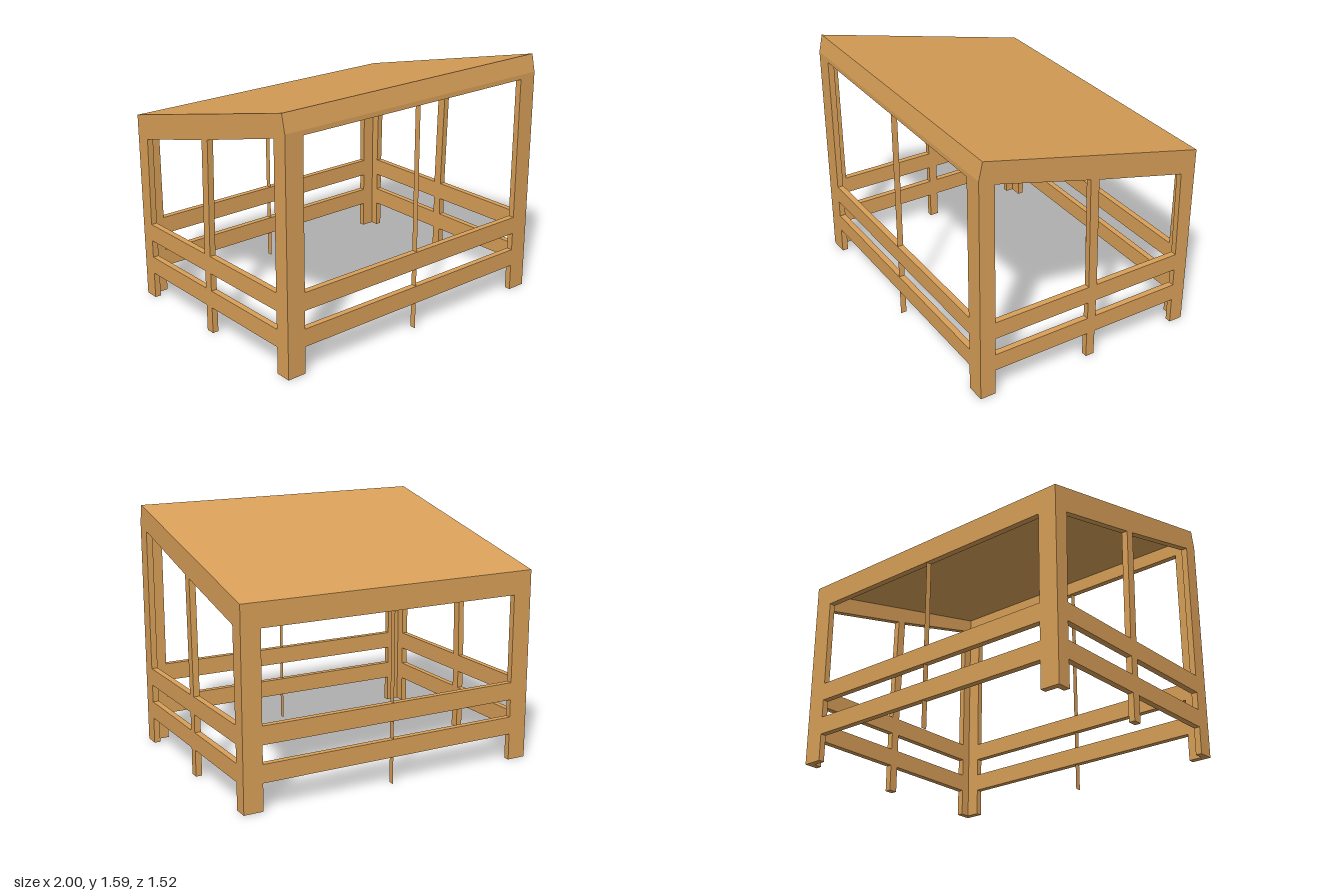
import * as THREE from 'three';

const T = 0.04;                 // panel thickness
const F = 0.76, B = -0.757;     // front and back planes
const RAIL = [0.173, 0.287, 0.403, 0.517]; // lower rail bottom/top, upper rail bottom/top

const path = (pts) => pts.map(([a, b]) => new THREE.Vector2(a, b));

function panel(outline, holes, depth) {
  const shape = new THREE.Shape(path(outline));
  for (const h of holes) shape.holes.push(new THREE.Path(path(h)));
  return new THREE.ExtrudeGeometry(shape, { depth, bevelEnabled: false }).translate(0, 0, -depth / 2);
}

const rect = (a0, a1, b0, b1) => [[a0, b0], [a1, b0], [a1, b1], [a0, b1]];

export function createModel() {
  const model = new THREE.Group();
  model.name = 'slopedFrame';
  const wood = new THREE.MeshStandardMaterial({ color: 0xd9a058, side: THREE.DoubleSide });
  wood.name = 'lightWood';

  const add = (name, geometry, x = 0, y = 0, z = 0) => {
    const mesh = new THREE.Mesh(geometry, wood);
    mesh.name = name;
    mesh.position.set(x, y, z);
    model.add(mesh);
  };

  // Sloping roof slab with a leaning front edge, swept across the width
  const roof = [[F, 1.48], [0.735, 1.593], [B, 1.235], [B, 1.185], [F - T, 1.54], [F - T, 1.48]];
  add('roof', panel(roof, [], 2).rotateY(-Math.PI / 2));

  // Side frames: corner legs, tapering centre post, two rails and a sloping header
  const sideOutline = [
    [B, 0], [-0.665, 0], [-0.665, RAIL[0]], [-0.058, RAIL[0]], [-0.058, 0],
    [0, 0], [0, RAIL[0]], [0.657, RAIL[0]], [0.657, 0], [F, 0],
    [F, 1.48], [F - T, 1.48], [F - T, 1.54], [B, 1.185],
  ];
  const sideHoles = [
    rect(-0.665, -0.058, RAIL[1], RAIL[2]),
    rect(0, 0.657, RAIL[1], RAIL[2]),
    [[-0.664, RAIL[3]], [-0.058, RAIL[3]], [-0.04, 1.248], [-0.653, 1.098]],
    [[0, RAIL[3]], [0.657, RAIL[3]], [0.66, 1.433], [0.02, 1.264]],
  ];
  for (const s of [-1, 1]) {
    add(s > 0 ? 'leftFrame' : 'rightFrame',
      panel(sideOutline, sideHoles, T).rotateY(-Math.PI / 2), s * (1 - T / 2));
  }

  // Front and back frames, each with a paper-thin centre divider
  const W = 1 - T, O = 0.875;
  for (const [name, z, top, open] of [
    ['front', F - T / 2, 1.48, 1.45],
    ['back', B + T / 2, 1.19, 1.085],
  ]) {
    const outline = [
      [-W, 0], [-O, 0], [-O, RAIL[0]], [O, RAIL[0]], [O, 0], [W, 0], [W, top], [-W, top],
    ];
    const holes = [rect(-O, O, RAIL[1], RAIL[2]), rect(-O, O, RAIL[3], open)];
    add(name + 'Frame', panel(outline, holes, T), 0, 0, z);
    add(name + 'Divider', new THREE.PlaneGeometry(T, open).rotateY(Math.PI / 2), 0, open / 2, z);
  }

  return model;
}
